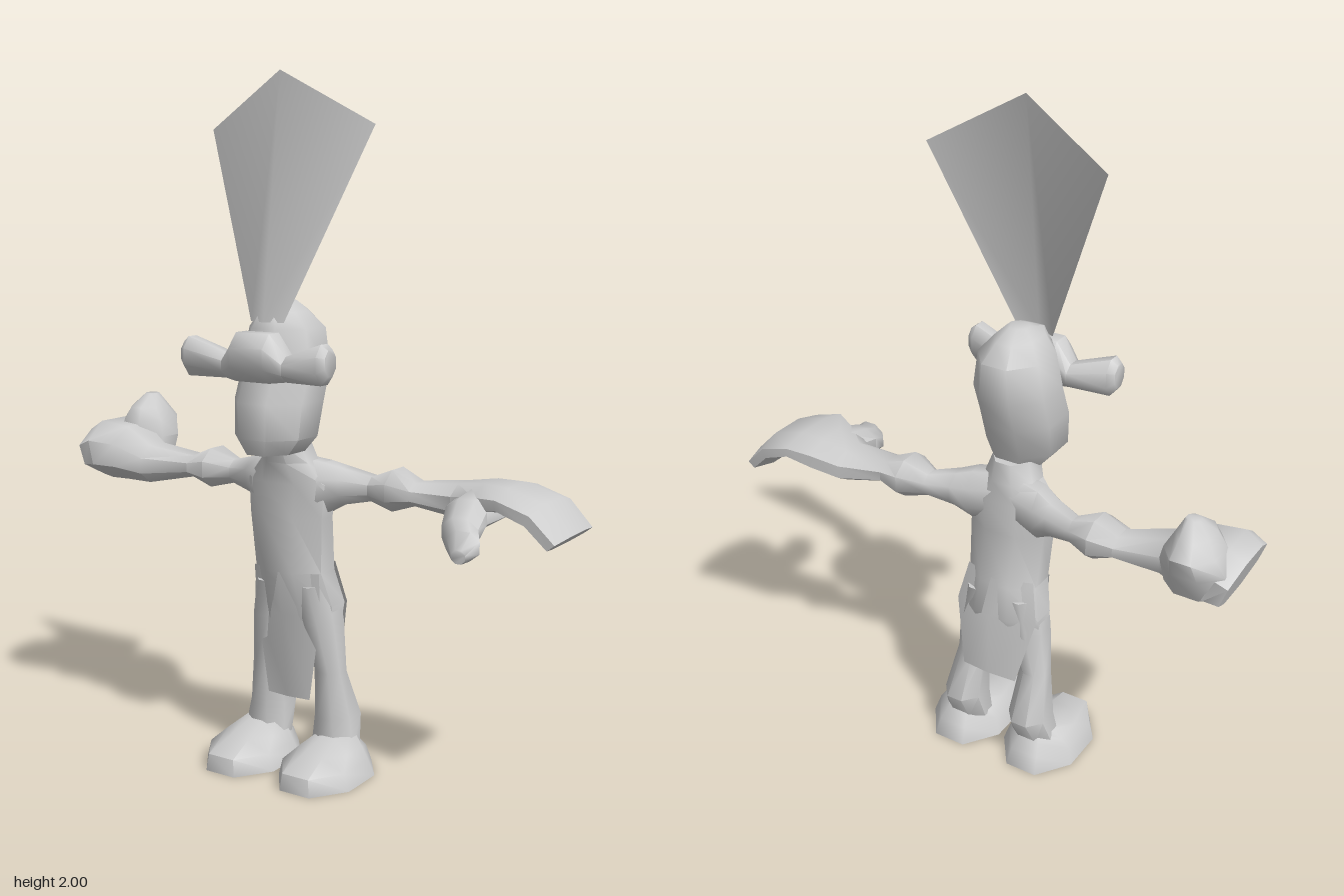
import * as THREE from 'three';
import { toCreasedNormals } from 'three/addons/utils/BufferGeometryUtils.js';

const MID = -0.05; // the body's plane of symmetry
const grey = new THREE.MeshStandardMaterial({ color: 0xcccccc });
grey.name = 'plain grey';
const greySheet = new THREE.MeshStandardMaterial({ color: 0xcccccc, side: THREE.DoubleSide });
greySheet.name = 'plain grey sheet';

function makeMesh(name, points, index, material, crease) {
  const geo = new THREE.BufferGeometry();
  geo.setAttribute('position', new THREE.Float32BufferAttribute(points.flat(), 3));
  geo.setIndex(index);
  const mesh = new THREE.Mesh(toCreasedNormals(geo, crease), material);
  mesh.name = name;
  return mesh;
}

// Turns an axis position and two cross coordinates into a point.
const place = {
  x: (t, u, v) => [t, u, v], // u = y, v = z
  y: (t, u, v) => [u, t, v], // u = x, v = z
  z: (t, u, v) => [u, v, t], // u = x, v = y
};

// Closed body through eight-sided sections: [axis position, u0, u1, v0, v1, lean]
function loft(name, axis, stations, crease = 0.95) {
  const N = 8, points = [], index = [];
  for (const [t, u0, u1, v0, v1, lean = 0] of stations) {
    for (let i = 0; i < N; i++) {
      const a = ((i + 0.5) / N) * Math.PI * 2, k = 1 / Math.cos(Math.PI / N);
      const cu = Math.cos(a) * k, cv = Math.sin(a) * k;
      points.push(place[axis](t + lean * cu,
        (u0 + u1) / 2 + cu * (u1 - u0) / 2, (v0 + v1) / 2 + cv * (v1 - v0) / 2));
    }
  }
  const last = (stations.length - 1) * N;
  for (let r = 0; r < last; r += N) {
    for (let i = 0; i < N; i++) {
      const j = (i + 1) % N;
      index.push(r + i, r + j, r + N + j, r + i, r + N + j, r + N + i);
    }
  }
  for (let i = 1; i < N - 1; i++) {
    index.push(0, i + 1, i, last, last + i, last + i + 1);
  }
  // Make the faces point outward whichever way the sections run.
  let volume = 0;
  const p = (i) => new THREE.Vector3(...points[index[i]]);
  for (let i = 0; i < index.length; i += 3) volume += p(i).dot(p(i + 1).cross(p(i + 2)));
  if (volume < 0) index.reverse();
  return makeMesh(name, points, index, grey, crease);
}

// Open sheet folded along its middle: [half width, edge y, edge z, middle y, middle z]
function sheet(name, rows) {
  const points = [], index = [];
  for (const [w, ey, ez, my, mz] of rows) {
    points.push([MID - w, ey, ez], [MID, my, mz], [MID + w, ey, ez]);
  }
  for (let r = 0; r < rows.length - 1; r++) {
    for (let c = 0; c < 2; c++) {
      const a = r * 3 + c;
      index.push(a, a + 1, a + 4, a, a + 4, a + 3);
    }
  }
  return makeMesh(name, points, index, greySheet, 1.2);
}

// Mirrors one span of x about the body's middle.
const mirrorX = ([t, x0, x1, ...rest]) => [t, 2 * MID - x1, 2 * MID - x0, ...rest];

export function createModel() {
  const model = new THREE.Group();
  model.name = 'figure';

  // Head and neck
  model.add(loft('head', 'y', [
    [0.955, -0.12, 0.02, -0.02, 0.18],
    [1.0, -0.158, 0.058, -0.035, 0.195],
    [1.1, -0.165, 0.063, -0.07, 0.195],
    [1.19, -0.165, 0.063, -0.1, 0.155],
    [1.3, -0.147, 0.045, -0.1, 0.14],
    [1.345, -0.11, 0.01, -0.05, 0.125],
    [1.375, -0.08, -0.02, 0.0, 0.06],
  ]));

  // Wide bar across the face, with a bump in its middle
  const half = [
    [0.24, 1.19, 1.26, 0.145, 0.2],
    [0.22, 1.165, 1.275, 0.13, 0.215],
    [0.1, 1.165, 1.235, 0.12, 0.2],
    [0.055, 1.16, 1.295, 0.11, 0.225],
  ];
  model.add(loft('faceBar', 'x', [
    ...half.map(([d, ...s]) => [MID - d, ...s]),
    ...half.map(([d, ...s]) => [MID + d, ...s]).reverse(),
  ]));

  // Tall folded crest
  model.add(sheet('crest', [
    [0.055, 1.32, 0.12, 1.32, 0.14],
    [0.27, 1.85, 0.0, 2.0, 0.055],
  ]));

  // Torso running up into the neck
  model.add(loft('torso', 'y', [
    [0.42, -0.18, 0.08, -0.09, 0.03],
    [0.5, -0.185, 0.085, -0.12, 0.045],
    [0.6, -0.163, 0.063, -0.1, 0.07],
    [0.76, -0.175, 0.07, -0.07, 0.07],
    [0.86, -0.18, 0.08, -0.07, 0.07],
    [0.92, -0.13, 0.03, -0.06, 0.08],
    [0.98, -0.11, 0.01, -0.05, 0.1],
  ]));

  // Coat flaps
  model.add(sheet('frontFlap', [
    [0.112, 0.6, 0.03, 0.6, 0.071],
    [0.11, 0.47, 0.02, 0.47, 0.055],
    [0.072, 0.215, 0.018, 0.215, 0.025],
  ]));
  model.add(sheet('backFlap', [
    [0.11, 0.62, -0.06, 0.62, -0.1],
    [0.135, 0.5, -0.085, 0.5, -0.13],
    [0.09, 0.3, -0.125, 0.3, -0.132],
  ]));

  // Legs and shoes
  const leg = [
    [0.56, -0.05, 0.07, -0.1, 0.05],
    [0.45, -0.02, 0.09, -0.1, 0.035],
    [0.3, 0.015, 0.103, -0.08, 0.005],
    [0.16, 0.005, 0.125, -0.145, 0.005],
    [0.07, 0.0, 0.14, -0.1, 0.0],
  ];
  const shoe = [
    [0, -0.04, 0.2, -0.155, 0.185],
    [0.05, -0.025, 0.185, -0.135, 0.18],
    [0.08, 0.0, 0.16, -0.11, 0.09],
    [0.11, 0.03, 0.13, -0.09, 0.0],
  ];
  model.add(loft('leftLeg', 'y', leg), loft('rightLeg', 'y', leg.map(mirrorX)));
  model.add(loft('leftShoe', 'y', shoe), loft('rightShoe', 'y', shoe.map(mirrorX)));

  // Arms held straight out, sharing the shoulder and elbow sections
  const upperArm = [
    [0, 0.79, 0.935, -0.06, 0.05],
    [0.11, 0.77, 0.92, -0.08, 0.04],
    [0.16, 0.8, 0.905, -0.09, 0.01],
    [0.24, 0.815, 0.885, -0.1, -0.02],
    [0.315, 0.797, 0.915, -0.135, 0.015],
    [0.385, 0.82, 0.885, -0.115, 0.0],
  ];
  model.add(loft('leftArm', 'x', [
    ...upperArm.map(([d, ...s]) => [MID + d, ...s]),
    [0.46, 0.8, 0.895, -0.155, 0.0],
    [0.55, 0.815, 0.91, -0.17, 0.04],
    [0.63, 0.845, 0.91, -0.185, 0.08],
    [0.72, 0.815, 0.88, -0.185, 0.08, 0.015],
    [0.785, 0.765, 0.805, -0.175, 0.075, 0.025],
  ]));
  model.add(loft('leftThumb', 'z', [
    [-0.03, 0.48, 0.63, 0.81, 0.9],
    [0.06, 0.48, 0.6, 0.795, 0.88],
    [0.13, 0.505, 0.61, 0.765, 0.845],
    [0.18, 0.545, 0.64, 0.75, 0.825],
    [0.22, 0.58, 0.62, 0.75, 0.785],
  ]));
  model.add(loft('rightArm', 'x', [
    ...upperArm.map(([d, ...s]) => [MID - d, ...s]),
    [-0.57, 0.795, 0.91, -0.1, 0.055],
    [-0.66, 0.795, 0.96, -0.16, 0.075],
    [-0.74, 0.795, 0.97, -0.18, 0.09, -0.02],
    [-0.785, 0.8, 0.94, -0.175, 0.08, -0.025],
  ]));

  // Raised thumb at the back of the right fist
  model.add(loft('rightThumb', 'y', [
    [0.84, -0.77, -0.6, -0.18, -0.03],
    [0.92, -0.78, -0.595, -0.215, -0.03],
    [0.97, -0.755, -0.61, -0.228, -0.04],
    [1.01, -0.725, -0.63, -0.19, -0.055],
    [1.05, -0.69, -0.65, -0.15, -0.11],
  ]));

  return model;
}
